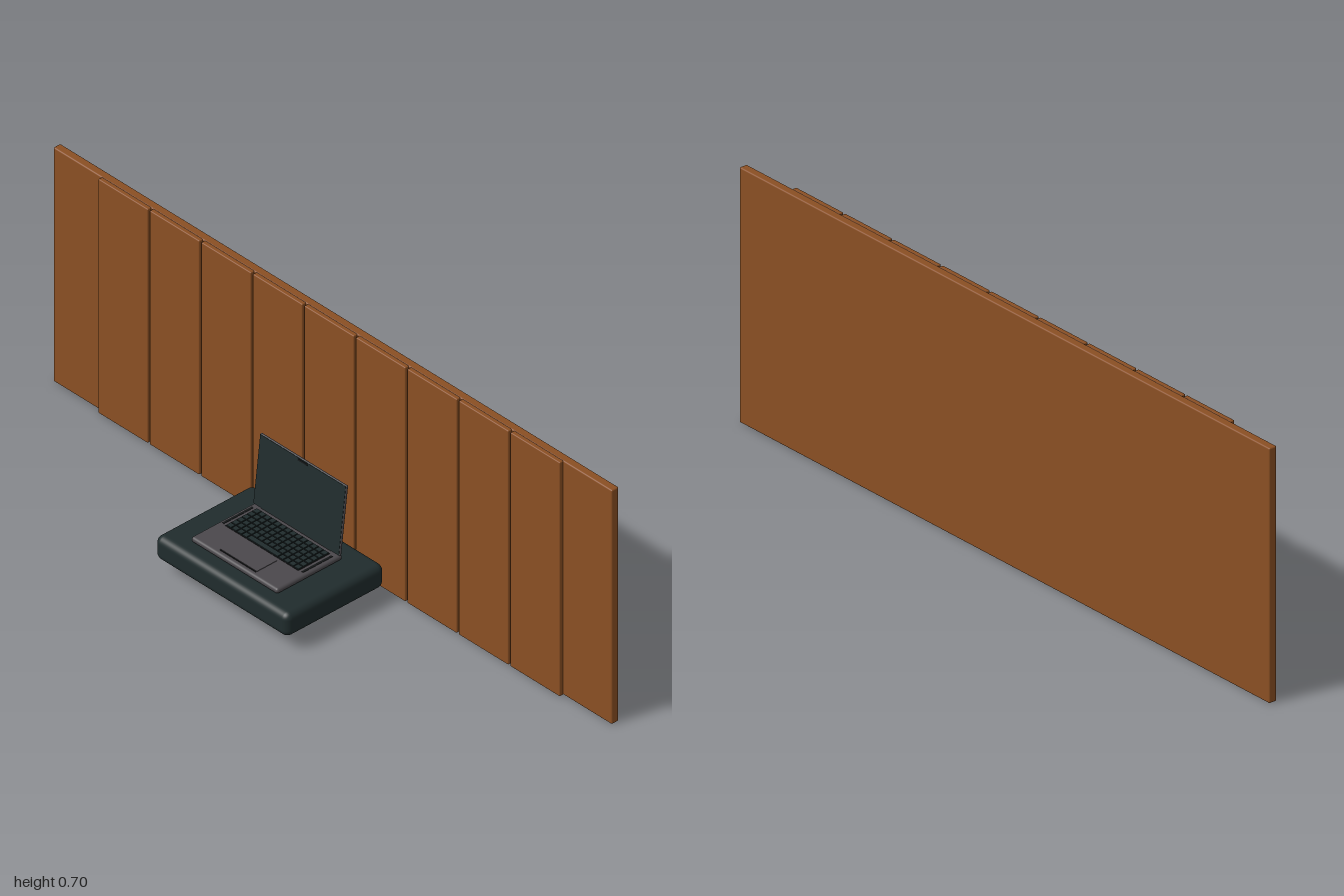
import * as THREE from 'three';
import { RoundedBoxGeometry } from 'three/addons/geometries/RoundedBoxGeometry.js';

const mat = (name, color) => {
  const m = new THREE.MeshStandardMaterial({ color });
  m.name = name;
  return m;
};

export function createModel() {
  const wood = mat('brown wood', 0x8a4f23);
  const slate = mat('dark slate', 0x202c2d);
  const metal = mat('grey metal', 0x4b484c);
  const black = mat('black', 0x141617);

  const model = new THREE.Group();
  model.name = 'wallDeskWithLaptop';

  // Adds a box given its size and centre; a radius rounds its edges
  const box = (parent, name, material, [w, h, d], [x, y, z], radius = 0) => {
    const geometry = radius ? new RoundedBoxGeometry(w, h, d, 4, radius) : new THREE.BoxGeometry(w, h, d);
    const mesh = new THREE.Mesh(geometry, material);
    mesh.name = name;
    mesh.position.set(x, y, z);
    parent.add(mesh);
    return mesh;
  };

  // Wall: one backing panel with nine planks in front
  const wall = new THREE.Group();
  wall.name = 'wall';
  model.add(wall);
  box(wall, 'backPanel', wood, [2, 0.7, 0.024], [0, 0.35, -0.187], 0.004);
  const pitch = 0.1844;
  for (let i = -4; i <= 4; i++) {
    box(wall, 'plank', wood, [pitch - 0.007, 0.7, 0.014], [i * pitch, 0.35, -0.17], 0.003);
  }

  // Floating desk slab
  box(model, 'deskSlab', slate, [0.476, 0.07, 0.33], [0, 0.076, 0.035], 0.02);

  const laptop = new THREE.Group();
  laptop.name = 'laptop';
  model.add(laptop);

  // Laptop base, keyboard well, touchpad and speakers
  box(laptop, 'laptopBase', metal, [0.31, 0.016, 0.22], [0, 0.12, 0.045], 0.0075);
  box(laptop, 'keyboardWell', black, [0.262, 0.001, 0.106], [0, 0.1283, 0.009]);
  box(laptop, 'touchpad', metal, [0.13, 0.002, 0.068], [0, 0.1285, 0.105]);
  box(laptop, 'touchpadEdge', black, [0.13, 0.0012, 0.003], [0, 0.1284, 0.141]);
  for (const side of [-1, 1]) {
    box(laptop, 'speaker', black, [0.007, 0.001, 0.1], [side * 0.142, 0.1282, 0.009]);
  }

  // Keyboard: five rows of keys, then a row with the space bar
  const columns = 14, step = 0.26 / columns;
  for (let row = 0; row < 6; row++) {
    const z = -0.035 + row * 0.0175;
    for (let c = 0; c < columns; c++) {
      if (row === 5 && c > 3 && c < 10) continue;
      box(laptop, 'key', slate, [step - 0.003, 0.0035, 0.0145], [(c - (columns - 1) / 2) * step, 0.1295, z]);
    }
  }
  box(laptop, 'spaceBar', slate, [step * 6 - 0.003, 0.0035, 0.0145], [0, 0.1295, 0.0525]);

  // Hinge bar
  const hinge = new THREE.Mesh(new THREE.CylinderGeometry(0.004, 0.004, 0.25, 12), black);
  hinge.name = 'hinge';
  hinge.rotation.z = Math.PI / 2;
  hinge.position.set(0, 0.128, -0.057);
  laptop.add(hinge);

  // Lid leaning back about the hinge
  const lid = new THREE.Group();
  lid.name = 'lid';
  lid.position.set(0, 0.126, -0.057);
  lid.rotation.x = -0.118;
  laptop.add(lid);
  box(lid, 'lidShell', metal, [0.31, 0.2, 0.007], [0, 0.101, 0], 0.003);
  box(lid, 'screen', slate, [0.306, 0.196, 0.001], [0, 0.101, 0.0037]);
  box(lid, 'camera', black, [0.034, 0.005, 0.002], [0, 0.194, 0.0042]);

  return model;
}
